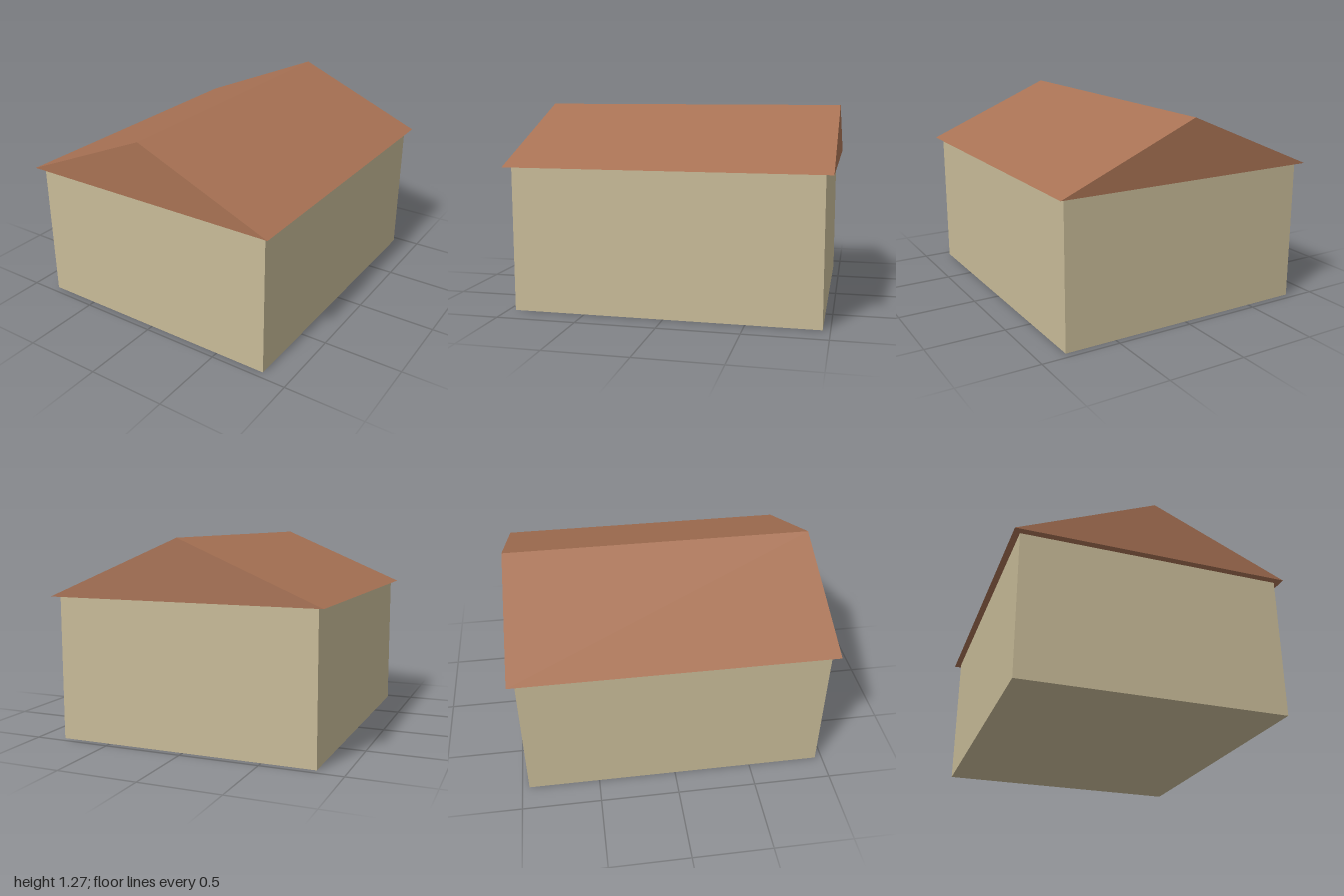
import * as THREE from 'three';

const WALL = { width: 1.66, height: 0.906, depth: 1.91 };
const ROOF = { halfWidth: 0.87, rise: 0.368, depth: 2 };

export function createModel() {
  const house = new THREE.Group();
  house.name = 'house';

  // Plain box of walls, standing on the ground
  const walls = new THREE.Mesh(
    new THREE.BoxGeometry(WALL.width, WALL.height, WALL.depth),
    new THREE.MeshStandardMaterial({ color: 0xc8bb98 })
  );
  walls.name = 'walls';
  walls.position.y = WALL.height / 2;
  house.add(walls);

  // Solid gable roof: a triangle extruded along the ridge, overhanging all round
  const gable = new THREE.Shape([
    new THREE.Vector2(-ROOF.halfWidth, 0),
    new THREE.Vector2(ROOF.halfWidth, 0),
    new THREE.Vector2(0, ROOF.rise),
  ]);
  const roof = new THREE.Mesh(
    new THREE.ExtrudeGeometry(gable, { depth: ROOF.depth, bevelEnabled: false }),
    new THREE.MeshStandardMaterial({ color: 0xa87254, flatShading: true })
  );
  roof.name = 'roof';
  roof.position.set(0, WALL.height, -ROOF.depth / 2);
  house.add(roof);

  return house;
}
